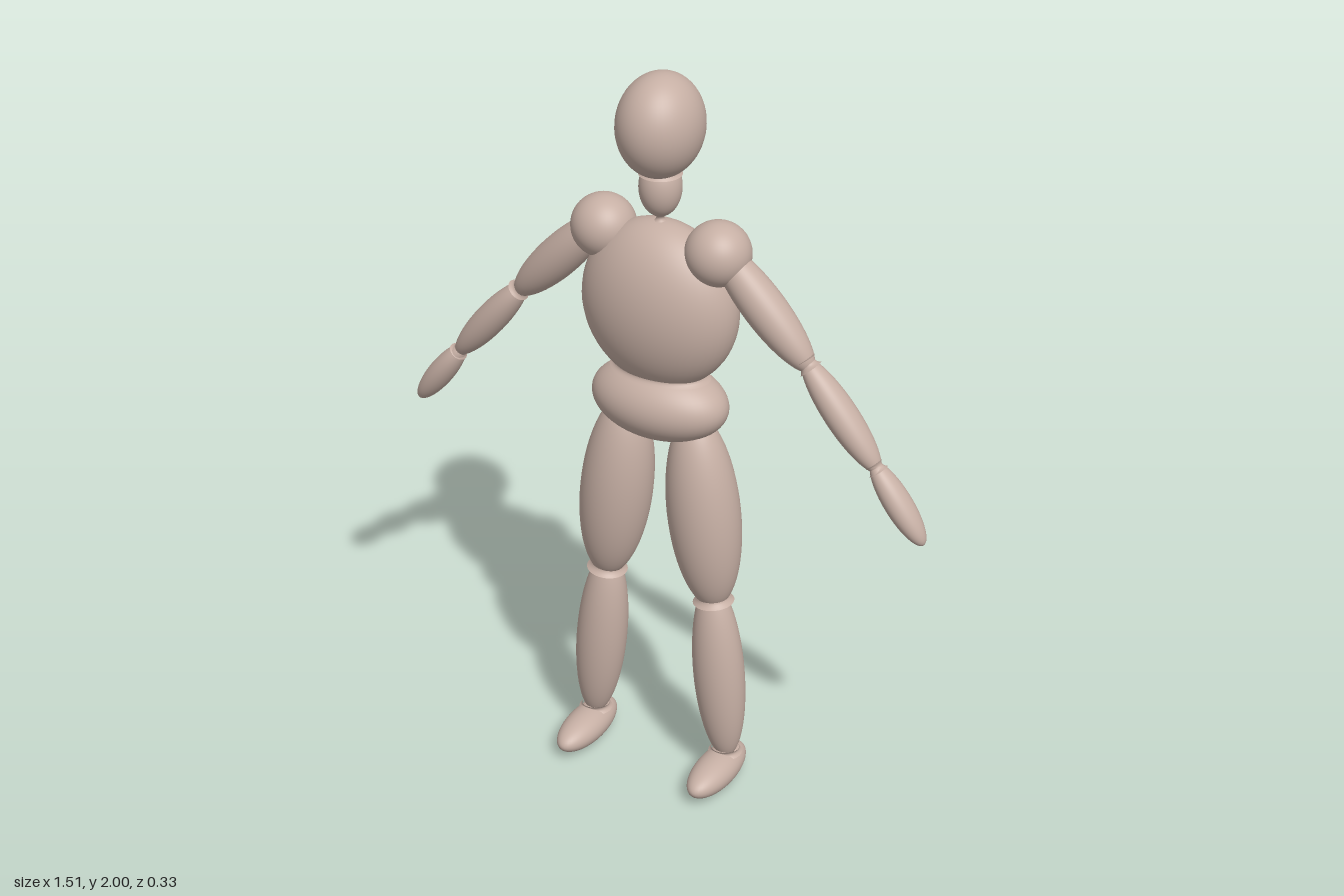
import * as THREE from 'three';

const skin = new THREE.MeshStandardMaterial({ color: 0xc6afa4 });
skin.name = 'clay';
const UP = new THREE.Vector3(0, 1, 0);
const V = (p) => new THREE.Vector3(...p);

// Ellipsoid at a centre with three radii
function ellipsoid(name, center, radii) {
  const mesh = new THREE.Mesh(new THREE.SphereGeometry(1, 48, 32), skin);
  mesh.name = name;
  mesh.position.set(...center);
  mesh.scale.set(...radii);
  return mesh;
}

// Ellipsoid stretched between two end points
function muscle(name, a, b, rx, rz) {
  const dir = V(b).sub(V(a));
  const mid = V(a).add(V(b)).multiplyScalar(0.5);
  const mesh = ellipsoid(name, mid.toArray(), [rx, dir.length() / 2, rz]);
  mesh.quaternion.setFromUnitVectors(UP, dir.normalize());
  return mesh;
}

// Concave collar that softens the crease between two bodies
function collar(name, center, dir, r, h, flare, depth = 1) {
  const profile = [];
  for (let i = 0; i <= 8; i++) {
    const t = i / 4 - 1;
    profile.push(new THREE.Vector2(r + flare * t * t, h * t));
  }
  const mesh = new THREE.Mesh(new THREE.LatheGeometry(profile, 40), skin);
  mesh.name = name;
  mesh.position.set(...center);
  mesh.scale.z = depth;
  mesh.quaternion.setFromUnitVectors(UP, V(dir).normalize());
  return mesh;
}

export function createModel() {
  const model = new THREE.Group();
  model.name = 'mannequin';
  // The whole figure is turned slightly to its left
  const body = new THREE.Group();
  body.name = 'body';
  body.position.z = -0.032;
  body.rotation.y = 0.07;
  model.add(body);

  // Head, neck and trunk
  body.add(
    ellipsoid('head', [0, 1.867, 0], [0.107, 0.133, 0.124]),
    ellipsoid('neck', [0, 1.705, 0], [0.054, 0.078, 0.055]),
    collar('neckTopJoint', [0, 1.752, 0], [0, 1, 0], 0.047, 0.012, 0.008),
    collar('neckBaseJoint', [0, 1.622, 0], [0, 1, 0], 0.01, 0.014, 0.014),
    ellipsoid('chest', [0, 1.389, 0], [0.215, 0.226, 0.135]),
    collar('waist', [0, 1.208, 0], [0, 1, 0], 0.126, 0.014, 0.014, 0.63),
    ellipsoid('pelvis', [0, 1.116, 0], [0.19, 0.104, 0.122])
  );

  // Limbs, mirrored by side
  for (const s of [1, -1]) {
    const side = s > 0 ? 'left' : 'right';
    const limb = (part) => side + part;
    const elbow = [s * 0.415, 1.323, -0.002];
    const wrist = [s * 0.612, 1.09, 0];

    body.add(
      ellipsoid(limb('Shoulder'), [s * 0.163, 1.563, 0], [0.084, 0.083, 0.084]),
      muscle(limb('UpperArm'), [s * 0.155, 1.59, 0], [s * 0.428, 1.307, -0.002], 0.054, 0.054),
      collar(limb('Elbow'), elbow, [s, -1.1, 0], 0.022, 0.014, 0.009),
      muscle(limb('Forearm'), [s * 0.403, 1.337, -0.002], [s * 0.621, 1.079, 0], 0.041, 0.045),
      collar(limb('Wrist'), wrist, [s, -1.2, 0], 0.018, 0.012, 0.008),
      muscle(limb('Hand'), [s * 0.602, 1.103, 0], [s * 0.751, 0.909, 0], 0.034, 0.039),

      muscle(limb('Thigh'), [s * 0.097, 1.095, 0], [s * 0.165, 0.535, 0], 0.097, 0.093),
      collar(limb('Knee'), [s * 0.161, 0.57, 0], [-s * 0.1, 1, 0], 0.042, 0.02, 0.013),
      muscle(limb('Shin'), [s * 0.156, 0.603, 0], [s * 0.208, 0.062, 0], 0.07, 0.065),
      collar(limb('Ankle'), [s * 0.205, 0.09, 0], [0, 1, 0], 0.038, 0.012, 0.008),
      ellipsoid(limb('Foot'), [s * 0.205, 0.046, 0.047], [0.055, 0.046, 0.132])
    );
  }
  return model;
}
